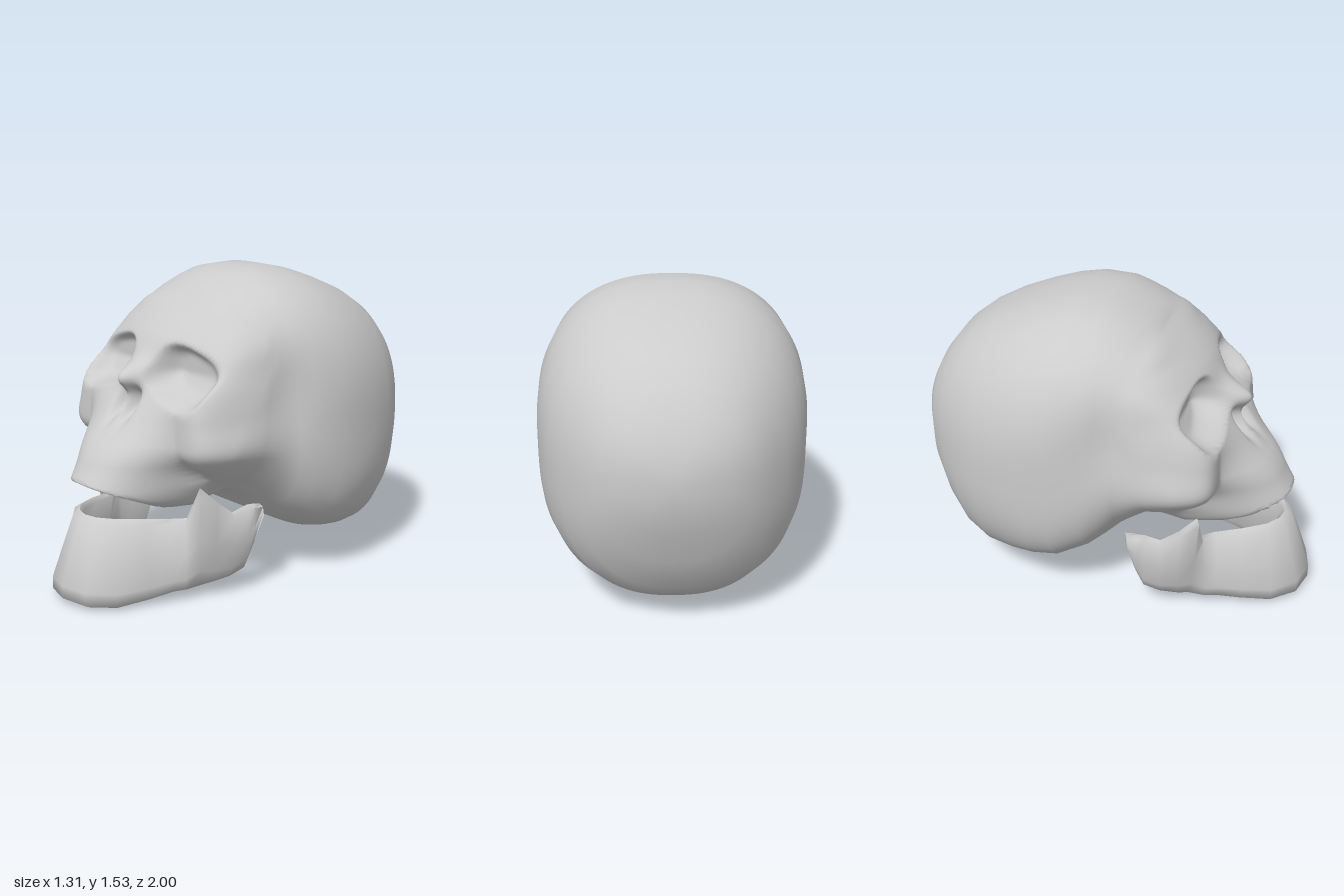
import * as THREE from 'three';
import { toCreasedNormals } from 'three/addons/utils/BufferGeometryUtils.js';

const V = (x, y, z) => new THREE.Vector3(x, y, z);
const gauss = (d, w) => Math.exp(-(d * d) / (w * w));
const smooth = THREE.MathUtils.smoothstep;
const spow = (v, p) => Math.sign(v) * Math.abs(v) ** p;

// Piecewise linear lookup in [key, value] pairs with rising keys
function lookup(pairs, k) {
  if (k <= pairs[0][0]) return pairs[0][1];
  for (let i = 1; i < pairs.length; i++) {
    const [k0, v0] = pairs[i - 1], [k1, v1] = pairs[i];
    if (k <= k1) return v0 + (v1 - v0) * (k - k0) / (k1 - k0);
  }
  return pairs[pairs.length - 1][1];
}

// The same lookup with its corners softened
const softLookup = (pairs, k) =>
  [-0.04, -0.02, 0, 0.02, 0.04].reduce((sum, d) => sum + lookup(pairs, k + d) / 5, 0);

// Closed skin over a list of rings, with both ends capped
function loft(rings, crease) {
  const n = rings[0].length, pos = [], index = [];
  const put = (p) => pos.push(p.x, p.y, p.z);
  rings.forEach((ring) => ring.forEach(put));
  const ends = [rings[0], rings[rings.length - 1]];
  ends.forEach((ring) => put(ring.reduce((s, p) => s.add(p), V(0, 0, 0)).divideScalar(n)));
  const first = rings.length * n, last = first + 1, end = first - n;
  for (let j = 0; j < n; j++) {
    const k = (j + 1) % n;
    for (let r = 0; r < rings.length - 1; r++) {
      const a = r * n + j, b = r * n + k;
      index.push(a, b, a + n, b, b + n, a + n);
    }
    index.push(first, k, j, end + j, end + k, last);
  }
  const geo = new THREE.BufferGeometry();
  geo.setAttribute('position', new THREE.Float32BufferAttribute(pos, 3));
  geo.setIndex(index);
  return toCreasedNormals(geo, crease);
}

const N = 120;
const faceCentre = V(0, 0.86, 0);

// Edge of the face, from the forehead down the +x side to the palate, then mirrored
function faceRim() {
  const half = [
    V(0, 1.425, 0.2), V(0.2, 1.41, 0.19), V(0.38, 1.35, 0.17), V(0.5, 1.23, 0.16),
    V(0.535, 1.07, 0.2), V(0.56, 0.9, 0.27), V(0.57, 0.74, 0.37), V(0.47, 0.63, 0.37),
    V(0.33, 0.52, 0.34), V(0.24, 0.43, 0.4), V(0, 0.42, 0.48),
  ];
  const other = half.slice(1, -1).reverse().map((p) => V(-p.x, p.y, p.z));
  const curve = new THREE.CatmullRomCurve3([...half, ...other], true);
  return Array.from({ length: N }, (_, i) => curve.getPoint(i / N));
}

const profile = [[0.42, 0.45], [0.6, 0.51], [0.72, 0.58], [0.95, 0.57], [1.08, 0.51],
  [1.2, 0.47], [1.28, 0.4], [1.36, 0.295], [1.5, 0.1]];
const muzzle = [[0.5, 0.46], [0.57, 0.39], [0.7, 0.24], [0.82, 0.12], [0.95, 0.02], [1, 0]];

// Depth of the face at (x, y); s runs from 0 at the nose to 1 at the rim
function faceDepth(x, y, s, rimZ) {
  const ax = Math.abs(x);
  let z = softLookup(profile, y) - 0.7 * x * x * smooth(y, 1, 1.25) * (1 - smooth(y, 1.3, 1.42));
  z += softLookup(muzzle, y) * Math.max(0, 1 - (ax / 0.34) ** 2.5) ** 1.25;
  z -= 0.08 * gauss(ax - 0.36, 0.08) * gauss(y - 0.6, 0.08); // hollow under the cheek
  z += 0.12 * gauss(x, 0.075) * gauss(y - 1.055, 0.07); // nasal bone
  z -= 0.09 * gauss(ax - 0.045, 0.028) * gauss(y - 0.93, 0.07); // nose openings
  z = rimZ + (z - rimZ) * (1 - s ** (13 + 17 * smooth(y, 1.1, 1.35)));
  // Slanted eye sockets with a floor rising towards the lower edge
  const dx = ax - 0.275, dy = y - 1.08, c = Math.cos(0.25), q = Math.sin(0.25);
  const d = (Math.abs(dx * c - dy * q) / 0.195) ** 3 + (Math.abs(dx * q + dy * c) / 0.12) ** 3;
  const inside = 1 - smooth(d, 0.15, 1.15);
  z += (Math.min(z, 0.37 + 0.7 * Math.max(0, 1.07 - y)) - z) * inside;
  // Sloping palate
  return Math.min(z, 0.5 + 2.45 * (y - 0.42));
}

// Braincase section: squarer below than above, pinched at the temples
function braincaseRing([z, top, bottom, w, n]) {
  const mid = (top + bottom) / 2, h = (top - bottom) / 2;
  return Array.from({ length: N }, (_, i) => {
    const a = (i / N) * Math.PI * 2, cy = Math.cos(a);
    const e = 2 / (cy > 0 ? 2.4 : n), y = mid + h * spow(cy, e);
    const temple = 1 - 0.07 * smooth(z, -0.12, 0.04) * gauss(y - 1.02, 0.22);
    return V(w * spow(Math.sin(a), e) * temple, y, z);
  });
}

function skullGeometry() {
  const rim = faceRim(), rings = [];
  const steps = 52;
  for (let i = 1; i <= steps; i++) {
    const s = i / steps;
    rings.push(rim.map((p) => {
      const x = p.x * s, y = faceCentre.y + (p.y - faceCentre.y) * s;
      return V(x, y, faceDepth(x, y, s, p.z));
    }));
  }
  // z, top, bottom, half width, lower squareness
  const sections = [
    [0.1, 1.475, 0.4, 0.59, 3], [0.02, 1.505, 0.335, 0.615, 3.4],
    [-0.05, 1.525, 0.285, 0.635, 3.8], [-0.2, 1.528, 0.205, 0.655, 4],
    [-0.33, 1.5, 0.165, 0.653, 3.6], [-0.45, 1.46, 0.125, 0.635, 3],
    [-0.6, 1.4, 0.09, 0.59, 2.5], [-0.72, 1.335, 0.13, 0.52, 2.4],
    [-0.82, 1.255, 0.23, 0.44, 2.3], [-0.9, 1.15, 0.41, 0.36, 2.3],
    [-0.96, 1.04, 0.58, 0.25, 2.2], [-1, 0.92, 0.72, 0.1, 2.2],
  ].map(braincaseRing);
  // Arched bridge between the palate and the braincase
  rings.push(rim.map((p, i) => {
    const m = p.clone().lerp(sections[0][i], 0.5);
    m.y += 0.07 * Math.max(0, -Math.cos((i / N) * Math.PI * 2)) ** 2;
    return m;
  }));
  return loft([...rings, ...sections], 1.35);
}

function jawGeometry() {
  // x, z, top, bottom, outward lean of the lower edge
  const half = [
    [0, 0.915, 0.42, 0.01, 0.12], [0.1, 0.89, 0.42, 0.005, 0.12],
    [0.18, 0.81, 0.42, 0, 0.09], [0.235, 0.68, 0.41, 0.015, 0.06],
    [0.28, 0.56, 0.395, 0.04, 0.06], [0.32, 0.495, 0.4, 0.04, 0.03],
    [0.38, 0.46, 0.58, 0.045, -0.1], [0.4, 0.4, 0.5, 0.055, -0.08],
    [0.415, 0.31, 0.425, 0.075, -0.05], [0.43, 0.23, 0.45, 0.105, -0.05],
    [0.44, 0.19, 0.45, 0.2, -0.05], [0.46, 0.145, 0.43, 0.38, 0],
  ];
  const mirrored = half.slice(1).map(([x, ...rest]) => [-x, ...rest]);
  const path = [...half.reverse(), ...mirrored];
  // Outward offset and height round one slice, rounded below
  const section = [[-0.4, 0], [0.6, 0.05], [1, 0.2], [0.85, 0.5], [0.6, 0.95], [0, 1],
    [-0.6, 0.95], [-0.8, 0.5], [-0.9, 0.15]];
  const rings = path.map(([x, z, top, bottom, lean], i) => {
    const a = path[Math.max(0, i - 1)], b = path[Math.min(path.length - 1, i + 1)];
    const tx = b[0] - a[0], tz = b[1] - a[1], len = Math.hypot(tx, tz);
    return section.map(([o, h]) => {
      const off = o * 0.045 + lean * (0.5 - h);
      return V(x + (tz / len) * off, bottom + (top - bottom) * h, z - (tx / len) * off);
    });
  });
  return loft(rings, 1.2);
}

export function createModel() {
  const group = new THREE.Group();
  const bone = new THREE.MeshStandardMaterial({ color: 0xcccccc });
  const parts = { cranium: skullGeometry(), lowerJaw: jawGeometry() };
  for (const [name, geo] of Object.entries(parts)) {
    const mesh = new THREE.Mesh(geo, bone);
    mesh.name = name;
    group.add(mesh);
  }
  return group;
}
